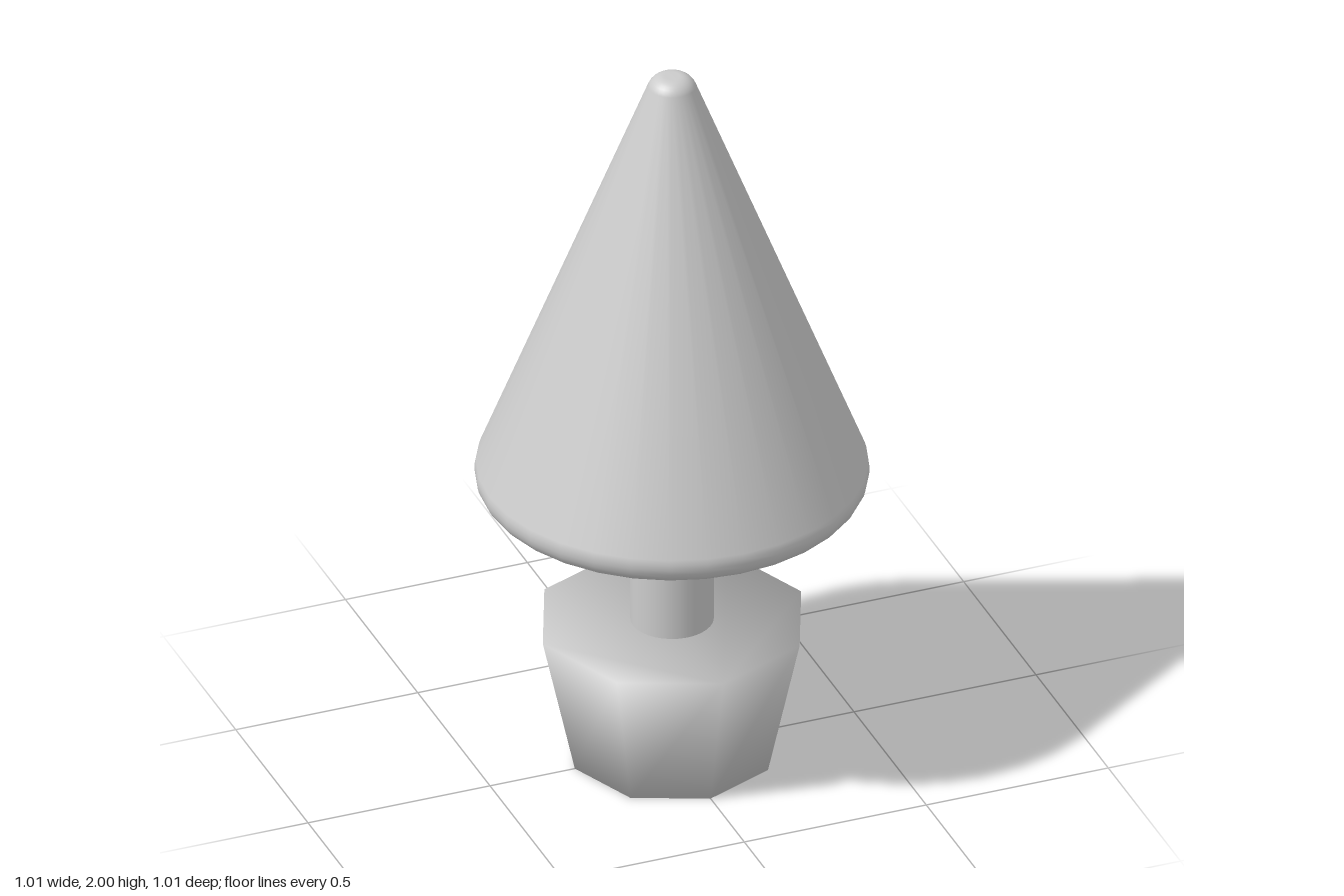
import * as THREE from 'three';

const material = new THREE.MeshStandardMaterial({ color: 0xcccccc });

function addPart(group, name, geometry, y = 0) {
  const mesh = new THREE.Mesh(geometry, material);
  mesh.name = name;
  mesh.position.y = y;
  group.add(mesh);
}

// Points on a rounded corner, angles in degrees
function arc(cx, cy, r, from, to, steps) {
  return Array.from({ length: steps + 1 }, (_, i) => {
    const a = THREE.MathUtils.degToRad(from + (to - from) * i / steps);
    return new THREE.Vector2(cx + r * Math.cos(a), cy + r * Math.sin(a));
  });
}

// Eight-sided tapered pot whose sides and caps share softened corner normals
function potGeometry(sides, bottomRadius, topRadius, height) {
  const positions = [], normals = [], index = [];
  const rings = [
    { r: bottomRadius, y: 0, n: new THREE.Vector2(0.97, -1).normalize() },
    { r: topRadius, y: height, n: new THREE.Vector2(1.55, 1).normalize() },
  ];
  for (const { r, y, n } of rings) {
    for (let i = 0; i < sides; i++) {
      const a = i / sides * Math.PI * 2;
      positions.push(r * Math.sin(a), y, r * Math.cos(a));
      normals.push(n.x * Math.sin(a), n.y, n.x * Math.cos(a));
    }
  }
  for (let i = 0; i < sides; i++) {
    const j = (i + 1) % sides;
    index.push(i, j, sides + j, i, sides + j, sides + i);
  }
  // Bottom and top caps
  for (let i = 1; i < sides - 1; i++) {
    index.push(0, i + 1, i, sides, sides + i, sides + i + 1);
  }
  const geometry = new THREE.BufferGeometry();
  geometry.setAttribute('position', new THREE.Float32BufferAttribute(positions, 3));
  geometry.setAttribute('normal', new THREE.Float32BufferAttribute(normals, 3));
  geometry.setIndex(index);
  return geometry;
}

export function createModel() {
  const group = new THREE.Group();
  group.name = 'pottedTree';

  addPart(group, 'pot', potGeometry(8, 0.267, 0.355, 0.39));
  addPart(group, 'trunk', new THREE.CylinderGeometry(0.107, 0.107, 0.26, 32), 0.52);

  // Floating cone of foliage with rounded base edge and tip
  const profile = [
    new THREE.Vector2(0, 0.775),
    ...arc(0.445, 0.835, 0.06, -90, 21.5, 8),
    ...arc(0.02, 1.955, 0.045, 21.5, 90, 6),
    new THREE.Vector2(0, 2),
  ];
  addPart(group, 'foliage', new THREE.LatheGeometry(profile, 32));

  return group;
}
